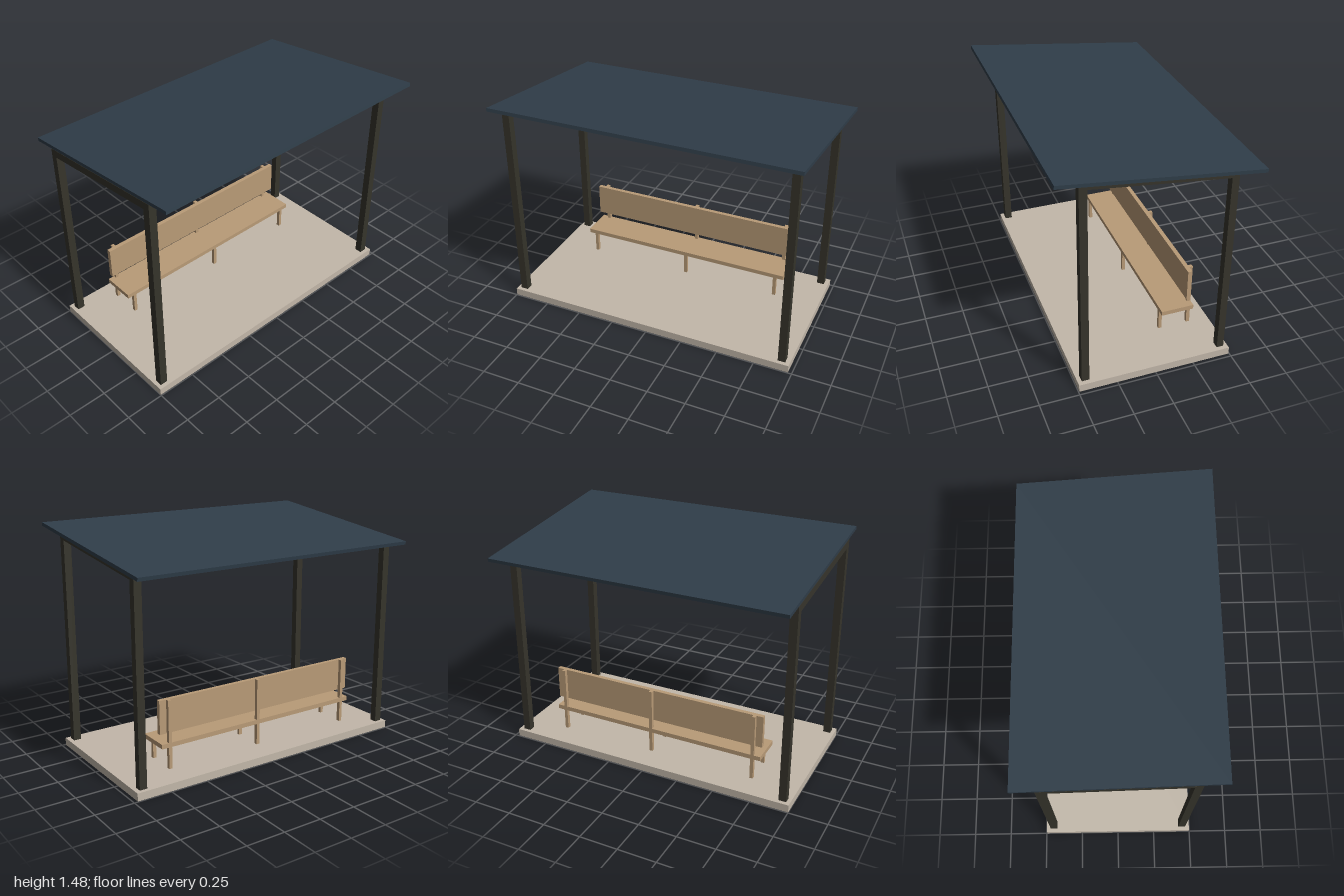
import * as THREE from 'three';

export function createModel() {
  const group = new THREE.Group();
  const material = (name, color) => {
    const m = new THREE.MeshStandardMaterial({ color });
    m.name = name;
    return m;
  };
  const concrete = material('concrete', 0xc2b7a9);
  const frame = material('darkFrame', 0x36342b);
  const roofBlue = material('slateBlueRoof', 0x2f3d49);
  const wood = material('wood', 0xb99b77);

  const add = (name, geometry, mat, parent = group) => {
    const mesh = new THREE.Mesh(geometry, mat);
    mesh.name = name;
    parent.add(mesh);
    return mesh;
  };
  // Box given by its limits on each axis
  const box = (name, mat, [x0, x1], [y0, y1], [z0, z1], parent) =>
    add(name, new THREE.BoxGeometry(x1 - x0, y1 - y0, z1 - z0), mat, parent)
      .position.set((x0 + x1) / 2, (y0 + y1) / 2, (z0 + z1) / 2);
  // Prism with a [z, y] side profile, running from x0 to x1
  const prism = (name, mat, [x0, x1], profile, parent) => {
    const shape = new THREE.Shape(profile.map(([z, y]) => new THREE.Vector2(z, y)));
    const geometry = new THREE.ExtrudeGeometry(shape, { depth: x1 - x0, bevelEnabled: false });
    geometry.rotateY(-Math.PI / 2).translate(x1, 0, 0);
    return add(name, geometry, mat, parent);
  };

  // Ground slab
  box('slab', concrete, [-1, 0.975], [0, 0.05], [-0.495, 0.495]);

  // Sloping roof sheet; under(z) is the height of its lower face
  const under = (z) => 1.385 + 0.1145 * z;
  prism('roof', roofBlue, [-0.975, 1], [
    [-0.612, under(-0.612)], [0.617, under(0.617)],
    [0.614, under(0.614) + 0.0225], [-0.615, under(-0.615) + 0.0225],
  ]);

  // Posts and beams cut to the roof slope
  const structure = new THREE.Group();
  structure.name = 'frame';
  group.add(structure);
  const sides = { right: [-0.975, -0.926], left: [0.897, 0.946] };
  const rows = { front: [0.421, 0.469], back: [-0.469, -0.424] };
  const top = (z) => under(z) - 0.002;
  const sloped = (name, xs, [z0, z1], bottom) =>
    prism(name, frame, xs, [[z0, bottom(z0)], [z1, bottom(z1)], [z1, top(z1)], [z0, top(z0)]], structure);
  const beamBottom = (z) => top(z) - 0.048;
  for (const [side, xs] of Object.entries(sides)) {
    for (const [row, zs] of Object.entries(rows)) sloped(`${row}${side}Post`, xs, zs, () => 0.05);
    sloped(`${side}Rafter`, xs, [rows.back[1], rows.front[0]], beamBottom);
  }
  for (const [row, zs] of Object.entries(rows))
    sloped(`${row}Beam`, [sides.right[1], sides.left[0]], zs, beamBottom);

  // Bench
  const bench = new THREE.Group();
  bench.name = 'bench';
  group.add(bench);
  const length = [-0.755, 0.725];
  box('seat', wood, length, [0.21, 0.239], [-0.354, -0.138], bench);
  box('backrest', wood, length, [0.295, 0.51], [-0.331, -0.303], bench);
  for (const x of [-0.7, 0.01, 0.667]) {
    const xs = [x - 0.011, x + 0.011];
    box('frontLeg', wood, xs, [0.07, 0.21], [-0.16, -0.138], bench);
    box('backLeg', wood, xs, [0.07, 0.51], [-0.355, -0.331], bench);
  }
  return group;
}
